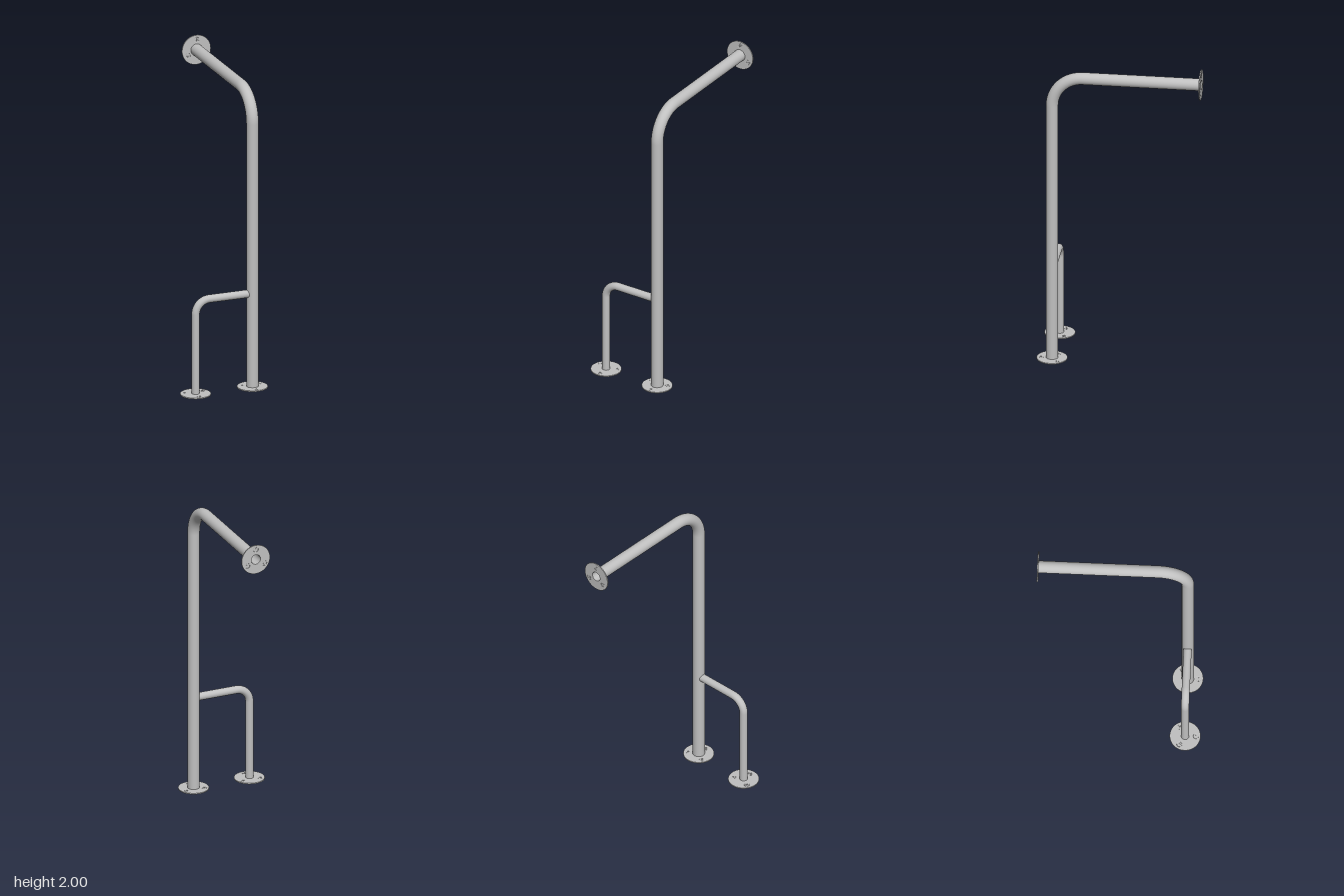
import * as THREE from 'three';
import { mergeGeometries } from 'three/addons/utils/BufferGeometryUtils.js';

const PLATE_R = 0.0955, PLATE_T = 0.008, SCREW_RING = 0.066, HEAD_R = 0.016;

// Pipe surface rising from the origin, bending a quarter turn towards +x
function bentSurface(radius, height, reach, bend) {
  const rise = height - bend, run = reach - bend;
  const upright = new THREE.CylinderGeometry(radius, radius, rise, 40, 1, true)
    .translate(0, rise / 2, 0);
  const elbow = new THREE.TorusGeometry(bend, radius, 40, 24, Math.PI / 2)
    .rotateZ(Math.PI / 2).translate(bend, rise, 0);
  const level = new THREE.CylinderGeometry(radius, radius, run, 40, 1, true)
    .rotateZ(Math.PI / 2).translate(bend + run / 2, height, 0);
  return mergeGeometries([upright, elbow, level]);
}

// Hollow pipe: outer wall and bore
function bentPipe(name, material, radius, bore, height, reach, bend) {
  const pipe = new THREE.Group();
  pipe.name = name;
  for (const [part, r] of [['outerWall', radius], ['bore', bore]]) {
    const mesh = new THREE.Mesh(bentSurface(r, height, reach, bend), material);
    mesh.name = part;
    pipe.add(mesh);
  }
  return pipe;
}

function circlePath(x, y, r) {
  return new THREE.Path().absarc(x, y, r, 0, Math.PI * 2, true);
}

// Cross-shaped driver slot
function crossPath(a, w) {
  return new THREE.Path([
    [w, w], [w, a], [-w, a], [-w, w], [-a, w], [-a, -w],
    [-w, -w], [-w, -a], [w, -a], [w, -w], [a, -w], [a, w],
  ].map(([x, y]) => new THREE.Vector2(x, y)));
}

// Round plate lying on y = 0 with three countersunk screws
function flange(name, material, bore) {
  const group = new THREE.Group();
  group.name = name;
  const add = (part, geometry, x = 0, y = 0, z = 0) => {
    const mesh = new THREE.Mesh(geometry, material);
    mesh.name = part;
    mesh.position.set(x, y, z);
    group.add(mesh);
  };
  const screws = [-90, 30, 150].map((deg) => {
    const a = THREE.MathUtils.degToRad(deg);
    return [Math.cos(a) * SCREW_RING, Math.sin(a) * SCREW_RING];
  });

  // Plate with softened rim
  const b = 0.0015;
  const disc = new THREE.Shape().absarc(0, 0, PLATE_R - b, 0, Math.PI * 2);
  disc.holes.push(circlePath(0, 0, bore + b));
  for (const [x, y] of screws) disc.holes.push(circlePath(x, y, HEAD_R + b));
  add('plate', new THREE.ExtrudeGeometry(disc, {
    depth: PLATE_T - 2 * b, bevelThickness: b, bevelSize: b, bevelSegments: 2, curveSegments: 40,
  }).translate(0, 0, b).rotateX(-Math.PI / 2));

  // Screw heads, slot floors and shank ends
  const head = new THREE.Shape().absarc(0, 0, HEAD_R, 0, Math.PI * 2);
  head.holes.push(crossPath(0.008, 0.002));
  const headGeometry = new THREE.ExtrudeGeometry(head, {
    depth: 0.004, bevelEnabled: false, curveSegments: 16,
  }).rotateX(-Math.PI / 2);
  const seatGeometry = new THREE.CylinderGeometry(HEAD_R, HEAD_R, 0.002, 24);
  const shankGeometry = new THREE.CylinderGeometry(0.007, 0.007, 0.002, 16);
  for (const [x, y] of screws) {
    add('screwHead', headGeometry, x, 0.004, -y);
    add('screwSeat', seatGeometry, x, 0.003, -y);
    add('screwShank', shankGeometry, x, 0.0012, -y);
  }
  return group;
}

export function createModel() {
  const model = new THREE.Group();
  model.name = 'grabRail';
  const steel = new THREE.MeshStandardMaterial({ color: 0xc0c0c0, side: THREE.DoubleSide });
  steel.name = 'brushed steel';

  const mainX = 0.1875, sideX = -0.19, footZ = 0.415, wallZ = -0.513, topY = 1.9045;

  // Main rail from the floor to the wall
  const mainRail = bentPipe('mainRail', steel, 0.038, 0.031, topY, footZ - wallZ - 0.002, 0.19);
  mainRail.position.set(mainX, 0.001, footZ);
  mainRail.rotation.y = Math.PI / 2;

  // Side leg joining the upright
  const sideLeg = bentPipe('sideLeg', steel, 0.025, 0.018, 0.61, mainX - sideX - 0.027, 0.09);
  sideLeg.position.set(sideX, 0.001, footZ);

  // Mounting flanges
  const mainFoot = flange('mainFootFlange', steel, 0.031);
  mainFoot.position.set(mainX, 0, footZ);
  const sideFoot = flange('sideFootFlange', steel, 0.018);
  sideFoot.position.set(sideX, 0, footZ);
  const wallFlange = flange('wallFlange', steel, 0.031);
  wallFlange.position.set(mainX, topY, wallZ);
  wallFlange.rotation.set(Math.PI / 2, Math.PI, 0);

  model.add(mainRail, sideLeg, mainFoot, sideFoot, wallFlange);
  return model;
}
